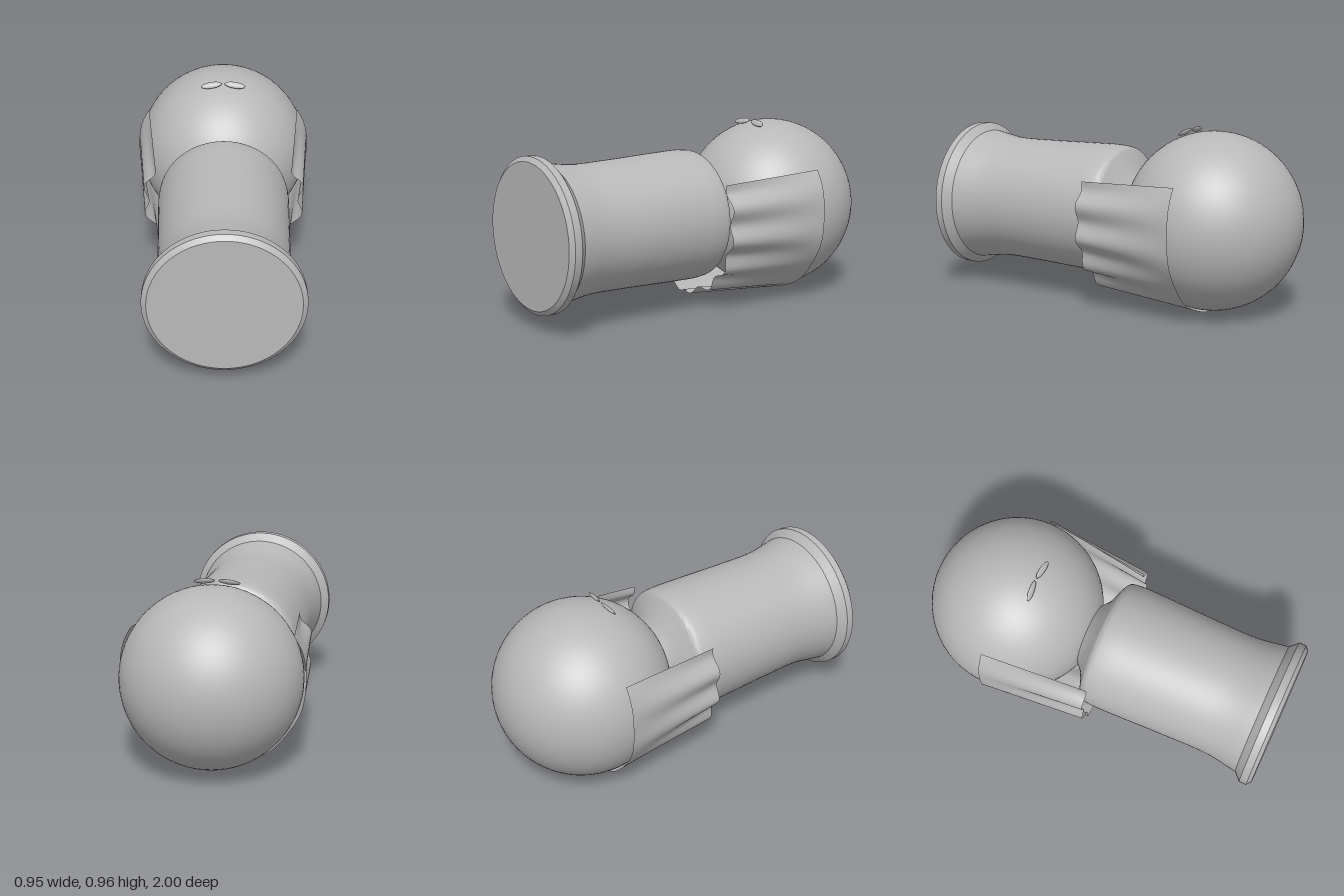
import * as THREE from 'three';
import { toCreasedNormals } from 'three/addons/utils/BufferGeometryUtils.js';

const AXIS_Y = 0.487;

export function createModel() {
  const model = new THREE.Group();
  const grey = new THREE.MeshStandardMaterial({ color: 0xb8b8b8 });
  const greySheet = new THREE.MeshStandardMaterial({ color: 0xb8b8b8, side: THREE.DoubleSide });
  greySheet.name = 'grey cloth';
  grey.name = 'grey';

  function add(name, geometry, material, x, y, z) {
    const mesh = new THREE.Mesh(geometry, material);
    mesh.name = name;
    mesh.position.set(x, y, z);
    model.add(mesh);
    return mesh;
  }

  // Body: turned along z, with a flared foot at the front and a cone neck at the back
  const waist = new THREE.CatmullRomCurve3([
    [0.31, -0.02], [0.336, 0], [0.346, 0.05], [0.345, 0.2],
    [0.336, 0.5], [0.335, 0.73], [0.36, 0.9],
  ].map(([r, z]) => new THREE.Vector3(r, z, 0)));
  const profile = [
    new THREE.Vector2(0, -0.1),
    new THREE.Vector2(0.17, -0.1),
    new THREE.Vector2(0.215, -0.06),
    ...waist.getPoints(30).map((p) => new THREE.Vector2(p.x, p.y)),
    new THREE.Vector2(0.4, 0.94),
    new THREE.Vector2(0.4, 0.98),
    new THREE.Vector2(0.375, 1),
    new THREE.Vector2(0, 1),
  ];
  const bodyGeometry = new THREE.LatheGeometry(profile, 72).rotateX(Math.PI / 2);
  add('body', toCreasedNormals(bodyGeometry, 0.45), grey, 0, AXIS_Y, 0);

  // Head
  add('head', new THREE.SphereGeometry(0.465, 64, 40), grey, 0, AXIS_Y, -0.535);

  // Cape: open band round the underside, rippling towards its front edge
  const cape = new THREE.PlaneGeometry(1, 1, 160, 12);
  const pos = cape.attributes.position;
  const halfSweep = Math.PI / 2 + 0.52;
  for (let i = 0; i < pos.count; i++) {
    const angle = pos.getX(i) * 2 * halfSweep; // measured from straight down
    const t = pos.getY(i) + 0.5;               // 0 at the back, 1 at the front
    const ripple = Math.cos(15 * (Math.abs(angle) - 0.1));
    const back = 0.479 + 0.003 * Math.cos(10 * angle);
    const front = 0.414 + 0.018 * ripple;
    const r = THREE.MathUtils.lerp(back, front, t);
    pos.setXYZ(i, r * Math.sin(angle), -r * Math.cos(angle), THREE.MathUtils.lerp(-0.53, 0.045, t));
  }
  cape.computeVertexNormals();
  add('cape', cape, greySheet, 0, AXIS_Y, 0);

  // Eyes: flattened ovals tilted down at their outer ends
  for (const side of [1, -1]) {
    const geometry = new THREE.SphereGeometry(1, 24, 14).scale(0.057, 0.018, 0.009);
    const eye = add(side > 0 ? 'leftEye' : 'rightEye', geometry, grey, side * 0.064, 0.947, -0.397);
    eye.rotation.set(-0.7, 0, -0.16 * side);
  }

  return model;
}
